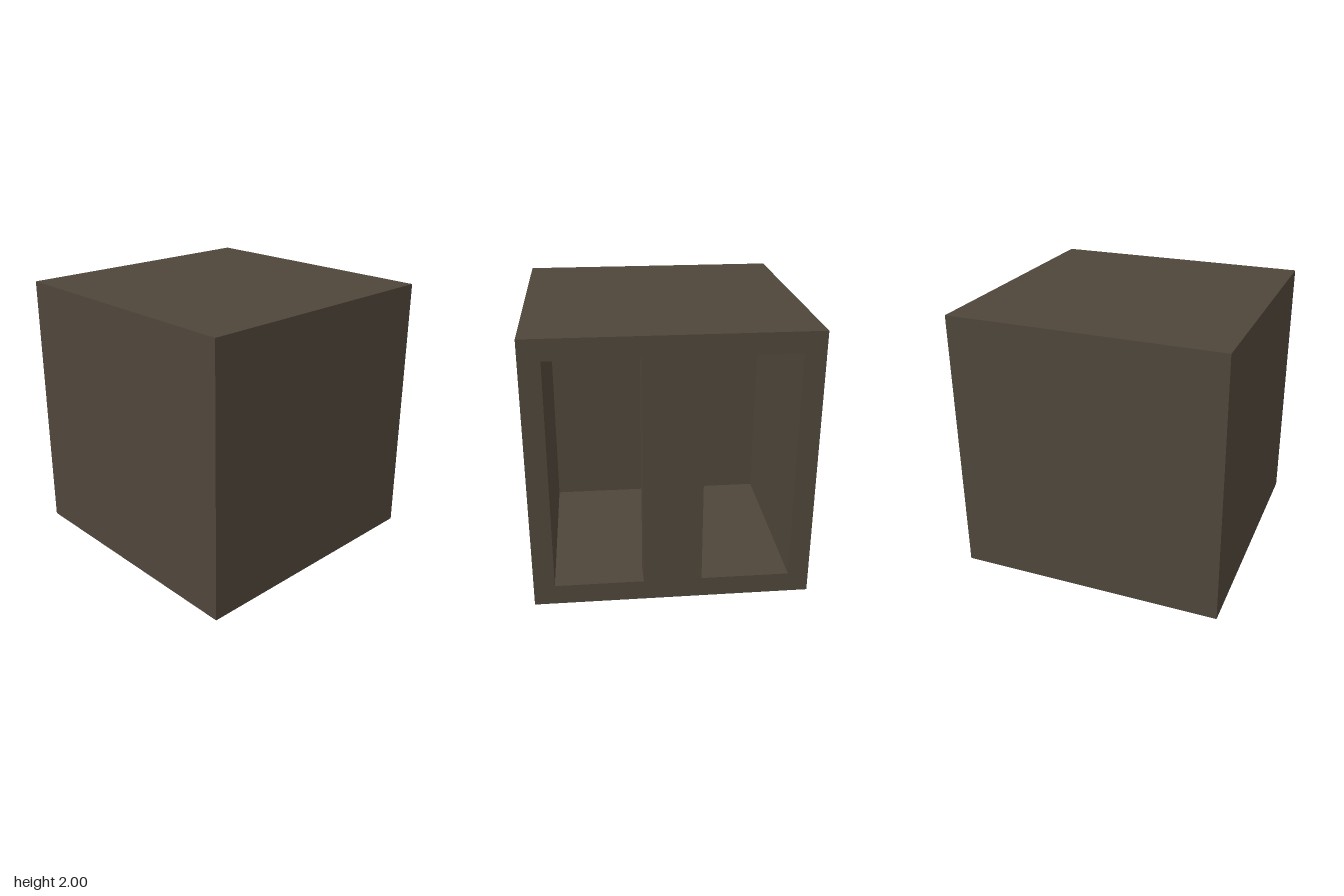
import * as THREE from 'three';

// Box from min to max corner without the listed faces (0 +x, 1 -x, 2 +y, 3 -y, 4 +z, 5 -z);
// inward turns the remaining faces to the inside.
function openBox(min, max, dropped, inward = false) {
  const size = max.map((v, i) => v - min[i]);
  const geo = new THREE.BoxGeometry(...size);
  geo.translate(...max.map((v, i) => (v + min[i]) / 2));
  const index = [];
  const source = Array.from(geo.index.array);
  for (let face = 0; face < 6; face++) {
    if (dropped.includes(face)) continue;
    for (let i = face * 6; i < face * 6 + 6; i += 3) {
      const [a, b, c] = source.slice(i, i + 3);
      index.push(...(inward ? [a, c, b] : [a, b, c]));
    }
  }
  geo.setIndex(index);
  geo.clearGroups();
  if (inward) geo.attributes.normal.array.forEach((v, i, n) => { n[i] = -v; });
  return geo;
}

function rectPoints(x0, y0, x1, y1) {
  return [[x0, y0], [x1, y0], [x1, y1], [x0, y1]].map(([x, y]) => new THREE.Vector2(x, y));
}

export function createModel() {
  const group = new THREE.Group();
  const brown = new THREE.MeshStandardMaterial({ color: 0x4f463a });
  brown.name = 'darkBrown';

  const add = (name, geo) => {
    const mesh = new THREE.Mesh(geo, brown);
    mesh.name = name;
    group.add(mesh);
  };

  const inner = 0.85, low = 0.15, high = 1.85, post = 0.21;

  // Outer casing, open on the left side
  add('casing', openBox([-1, 0, -1], [1, 2, 1], [0]));

  // Side face with two tall openings
  const face = new THREE.Shape(rectPoints(-1, 0, 1, 2));
  for (const [a, b] of [[-inner, -post], [post, inner]]) {
    face.holes.push(new THREE.Path(rectPoints(a, low, b, high).reverse()));
  }
  const faceGeo = new THREE.ShapeGeometry(face);
  faceGeo.rotateY(Math.PI / 2);
  faceGeo.translate(1, 0, 0);
  add('openingFrame', faceGeo);

  // Compartment behind the openings
  add('cavity', openBox([-0.39, low, -inner], [1, high, inner], [0], true));

  // Post between the openings
  add('centrePost', openBox([0.83, low, -post], [1, high, post], [0, 2, 3]));

  return group;
}
